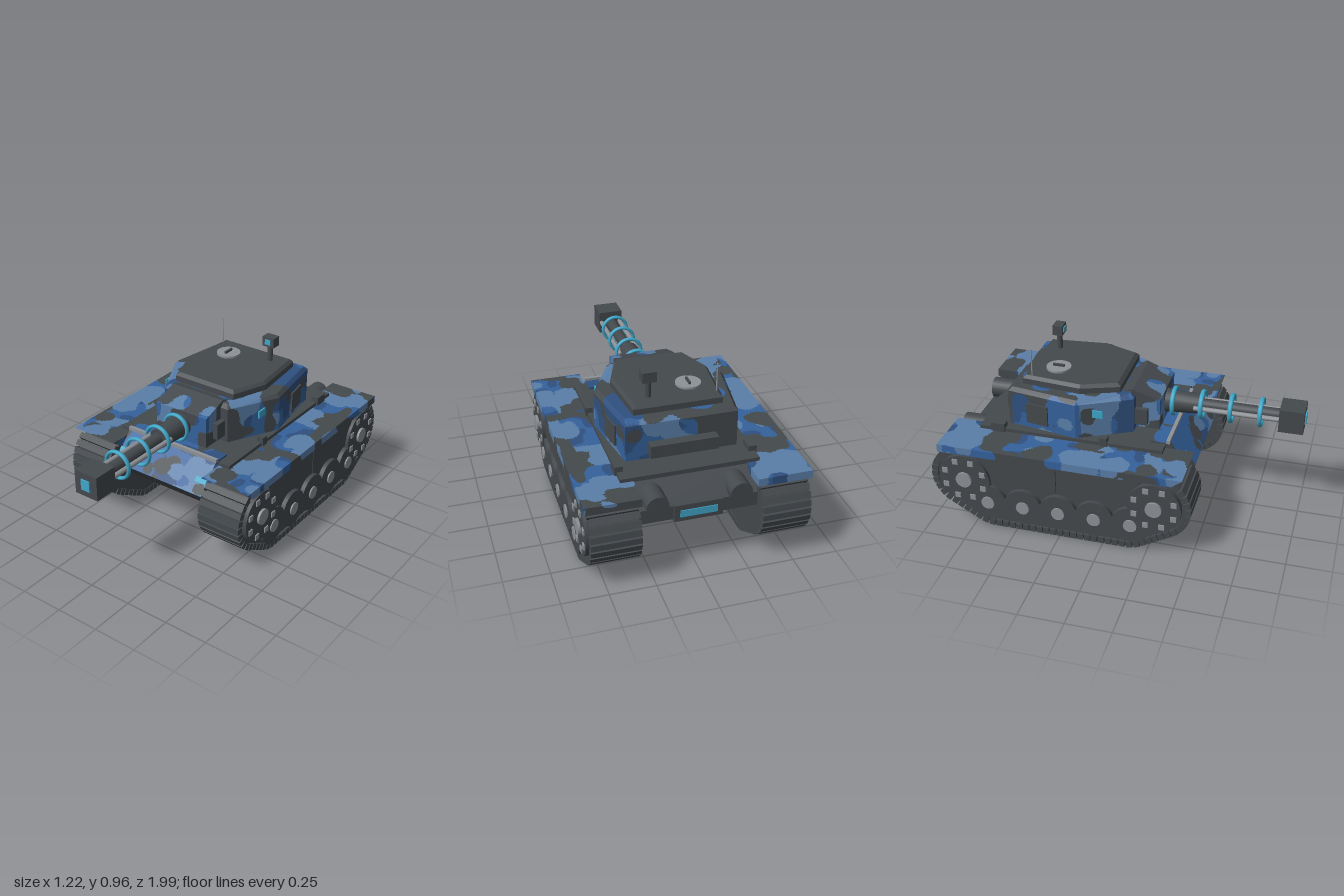
import * as THREE from 'three';

const mat = (name, color) => Object.assign(new THREE.MeshStandardMaterial({ color }), { name });
const steel = mat('dark steel', 0x44494d);
const blue = mat('mid blue', 0x35629c);
const pale = mat('pale blue', 0x5a7ea8);
const navy = mat('deep blue', 0x30507f);
const cyan = mat('cyan glow', 0x3fa6c8);
const metal = mat('light metal', 0x8d9196);

// Smooth value noise, 0..1
const hash = (x, y, z) => {
  const h = Math.sin(x * 127.1 + y * 311.7 + z * 74.7) * 43758.5453;
  return h - Math.floor(h);
};
function noise(p, freq, shift) {
  const c = [p.x, p.y, p.z].map((v) => v * freq + shift);
  const [i, j, k] = c.map(Math.floor);
  const [u, v, w] = c.map((q) => THREE.MathUtils.smoothstep(q - Math.floor(q), 0, 1));
  const mix = THREE.MathUtils.lerp;
  const row = (y, z) => mix(hash(i, y, z), hash(i + 1, y, z), u);
  return mix(mix(row(j, k), row(j + 1, k), v), mix(row(j, k + 1), row(j + 1, k + 1), v), w);
}

// Placed camouflage patches: x, y, z, radius, slot (0 steel, 1 blue, 2 pale, 3 navy)
const patches = [
  [0, 0.44, 0.39, 0.048, 0], [0.1, 0.44, 0.39, 0.05, 2], [0.2, 0.47, 0.36, 0.07, 2],
  [0.27, 0.4, 0.41, 0.035, 0], [-0.27, 0.39, 0.42, 0.03, 0], [-0.08, 0.4, 0.41, 0.03, 0], [-0.15, 0.45, 0.38, 0.14, 1],
  [-0.53, 0.49, -0.82, 0.09, 2], [-0.45, 0.49, -0.62, 0.09, 0], [-0.37, 0.49, -0.4, 0.06, 2], [-0.55, 0.49, -0.37, 0.08, 0],
  [-0.55, 0.49, 0.05, 0.08, 2], [-0.38, 0.49, -0.13, 0.07, 0], [-0.47, 0.49, 0.38, 0.07, 2], [-0.55, 0.49, 0.24, 0.06, 0],
  [0.54, 0.49, -0.8, 0.08, 2], [0.42, 0.49, -0.87, 0.07, 0], [0.38, 0.49, -0.5, 0.08, 2], [0.53, 0.49, -0.5, 0.08, 0],
  [0.53, 0.49, -0.18, 0.08, 2], [0.38, 0.49, 0.08, 0.07, 0], [0.38, 0.49, 0.34, 0.06, 0], [0.56, 0.49, 0.24, 0.06, 2]];

function camoSlot(p) {
  const wobble = 0.7 + 0.7 * noise(p, 22, 3.3);
  const hit = patches.find(([x, y, z, r]) => Math.hypot(p.x - x, p.y - y, p.z - z) < r * wobble);
  if (hit) return hit[4];
  if (noise(p, 10, 7.4) > 0.56) return 0;
  if (noise(p, 9, 21.7) > 0.58) return 2;
  return noise(p, 10, 40.2) > 0.58 ? 3 : 1;
}

// Splits a geometry finely and sorts its faces into camouflage patches
function camo(geometry) {
  const pos = (geometry.index ? geometry.toNonIndexed() : geometry).attributes.position;
  const bins = [[], [], [], []];
  const split = (a, b, c) => {
    const ab = a.distanceTo(b), bc = b.distanceTo(c), ca = c.distanceTo(a);
    const longest = Math.max(ab, bc, ca);
    if (longest < 0.018) {
      const bin = bins[camoSlot(a.clone().add(b).add(c).divideScalar(3))];
      for (const p of [a, b, c]) bin.push(p.x, p.y, p.z);
      return;
    }
    if (longest === bc) [a, b, c] = [b, c, a];
    else if (longest === ca) [a, b, c] = [c, a, b];
    const m = a.clone().lerp(b, 0.5);
    split(a, m, c);
    split(m, b, c);
  };
  const v = (i) => new THREE.Vector3().fromBufferAttribute(pos, i);
  for (let i = 0; i < pos.count; i += 3) split(v(i), v(i + 1), v(i + 2));
  const out = new THREE.BufferGeometry();
  out.setAttribute('position', new THREE.Float32BufferAttribute(bins.flat(), 3));
  let start = 0;
  bins.forEach((bin, i) => { out.addGroup(start, bin.length / 3, i); start += bin.length / 3; });
  out.computeVertexNormals();
  return out;
}

// Side profile in (z, y), extruded across x
function across(shape, x0, x1) {
  const g = new THREE.ExtrudeGeometry(shape, { depth: x1 - x0, bevelEnabled: false, curveSegments: 10 });
  return g.rotateY(-Math.PI / 2).translate(x1, 0, 0);
}
const poly = (pts) => new THREE.Shape(pts.map(([z, y]) => new THREE.Vector2(z, y)));

// Stack of mirrored six-sided plan outlines, capped at top and bottom
function hexStack(levels) {
  const rings = levels.map(([y, half]) => [
    ...half.map(([x, z]) => [x, y, z]), ...half.slice().reverse().map(([x, z]) => [-x, y, z])]);
  const n = rings[0].length, p = [], top = rings[rings.length - 1], low = rings[0];
  for (let r = 0; r + 1 < rings.length; r++) for (let i = 0; i < n; i++) {
    const j = (i + 1) % n, [A, B] = [rings[r], rings[r + 1]];
    p.push(...A[i], ...A[j], ...B[j], ...A[i], ...B[j], ...B[i]);
  }
  for (let i = 1; i + 1 < n; i++) p.push(...top[0], ...top[i], ...top[i + 1], ...low[0], ...low[i + 1], ...low[i]);
  const g = new THREE.BufferGeometry();
  g.setAttribute('position', new THREE.Float32BufferAttribute(p, 3));
  g.computeVertexNormals();
  return g;
}

export function createModel() {
  const model = new THREE.Group();
  model.name = 'tank';
  const add = (name, geometry, material, parent = model) => {
    const m = new THREE.Mesh(geometry, material);
    m.name = name;
    parent.add(m);
    return m;
  };
  const addCamo = (name, geometry) => add(name, camo(geometry), [steel, blue, pale, navy]);
  // Box given by its limits
  const box = (name, [x0, x1], [y0, y1], [z0, z1], material, parent) => add(name,
    new THREE.BoxGeometry(x1 - x0, y1 - y0, z1 - z0)
      .translate((x0 + x1) / 2, (y0 + y1) / 2, (z0 + z1) / 2), material, parent);
  const side = (s, a, b) => (s > 0 ? [a, b] : [-b, -a]);
  const rod = (name, r0, r1, x, y, z0, z1, material, n = 20) => add(name,
    new THREE.CylinderGeometry(r1, r0, z1 - z0, n).rotateX(Math.PI / 2).translate(x, y, (z0 + z1) / 2), material);

  // Hull
  add('hull', across(poly([[0.41, 0.355], [0.3, 0.235], [-0.75, 0.235], [-0.885, 0.31],
    [-0.885, 0.39], [-0.77, 0.495], [0.25, 0.495]]), -0.33, 0.33), steel);
  box('deck', [-0.375, 0.375], [0.47, 0.52], [-0.77, 0.28], steel);
  addCamo('frontPlate', across(poly([[0.3, 0.53], [0.2, 0.53], [0.2, 0.36], [0.42, 0.36], [0.44, 0.38]]), -0.302, 0.302));
  box('frontPlateRail', [-0.305, 0.305], [0.525, 0.545], [0.285, 0.305], metal);
  box('rearLampHousing', [-0.13, 0.13], [0.305, 0.4], [-0.905, -0.84], steel);
  box('rearLamp', [-0.1, 0.1], [0.33, 0.37], [-0.91, -0.904], cyan);

  // Running gear path: clockwise round the two sprockets and the ground wheels
  const track = new THREE.Shape();
  track.moveTo(-0.79, 0.47);
  track.absarc(0.29, 0.295, 0.175, Math.PI / 2, -1.05, true);
  track.absarc(0.13, 0.18, 0.155, -1.05, -Math.PI / 2, true);
  track.absarc(-0.63, 0.18, 0.155, -Math.PI / 2, -Math.PI + 1.05, true);
  track.absarc(-0.79, 0.295, 0.175, -Math.PI + 1.05, -1.5 * Math.PI, true);

  for (const s of [1, -1]) {
    const gear = new THREE.Group();
    gear.name = s > 0 ? 'leftTrack' : 'rightTrack';
    model.add(gear);
    const disc = (name, r, z, y, a, b, material, n = 28) => add(name,
      new THREE.CylinderGeometry(r, r, b - a, n).rotateZ(Math.PI / 2).translate(s * (a + b) / 2, y, z), material, gear);
    add('belt', across(track, ...side(s, 0.325, 0.57)), steel, gear);

    // Tread plates
    const count = 56;
    for (let i = 0; i < count; i++) {
      const p = track.getPointAt(i / count), t = track.getTangentAt(i / count);
      if (p.y > 0.45) continue;
      const plate = box('treadPlate', [-0.132, 0.132], [-0.012, 0.025], [-0.017, 0.017], steel, gear);
      plate.position.set(s * 0.452, p.y, p.x);
      plate.rotation.x = Math.atan2(-t.y, t.x);
    }
    // Road wheels
    for (let i = 0; i < 5; i++) {
      const z = 0.16 - i * 0.205;
      disc('roadWheel', 0.11, z, 0.16, 0.54, 0.595, steel);
      disc('roadWheelHub', 0.038, z, 0.16, 0.59, 0.603, metal, 16);
    }
    // Sprockets with bolt squares
    for (const z of [0.29, -0.79]) {
      disc('sprocket', 0.15, z, 0.295, 0.54, 0.598, steel);
      disc('sprocketHub', 0.046, z, 0.295, 0.59, 0.612, metal, 16);
      for (let k = 0; k < 8; k++) {
        const a = (k + 0.5) * Math.PI / 4;
        const cz = z + 0.118 * Math.cos(a), cy = 0.295 + 0.118 * Math.sin(a);
        box('sprocketBolt', side(s, 0.59, 0.605), [cy - 0.016, cy + 0.016], [cz - 0.016, cz + 0.016], metal, gear);
      }
    }
    // Side skirts, in two panels
    box('skirtPanel', side(s, 0.55, 0.58), [0.28, 0.46], [-0.257, 0.2], steel, gear);
    box('skirtPanel', side(s, 0.55, 0.58), [0.28, 0.46], [-0.7, -0.263], steel, gear);

    // Fender, deck fittings, headlamp, exhaust
    addCamo('fender', across(poly([[0.44, 0.5], [-0.935, 0.5], [-0.935, 0.455], [0.38, 0.455]]), ...side(s, 0.305, 0.602)));
    box('deckBlock', side(s, 0.345, 0.385), [0.5, 0.55], [-0.07, -0.03], steel);
    box('deckLocker', side(s, 0.34, 0.385), [0.5, 0.55], [-0.7, -0.62], steel);
    const lamp = box('headlamp', side(s, 0.23, 0.302), [-0.016, 0.016], [-0.002, 0.004], cyan);
    lamp.position.set(0, 0.443, 0.387);
    lamp.rotation.x = -0.75;
    rod('exhaust', 0.06, 0.06, s * 0.222, 0.425, -0.925, -0.75, steel, 24);

    // Turret side fittings
    box('turretLamp', side(s, 0.324, 0.333), [0.643, 0.686], [-0.125, -0.065], cyan);
    const panel = box('turretSidePanel', [-0.02, 0.006], [0.555, 0.675], [-0.065, 0.065], steel);
    panel.position.set(s * 0.337, 0, -0.44);
    panel.rotation.y = s > 0 ? 0.157 : Math.PI - 0.157;
    box('mantletTrunnion', side(s, 0.16, 0.203), [0.56, 0.655], [0.08, 0.15], steel);
  }

  // Turret
  addCamo('turretBody', hexStack([
    [0.51, [[0.22, 0.08], [0.37, -0.21], [0.305, -0.615]]],
    [0.725, [[0.22, 0.08], [0.37, -0.21], [0.305, -0.615]]],
    [0.747, [[0.2, 0.055], [0.35, -0.21], [0.29, -0.595]]]]));
  add('turretRoof', hexStack([
    [0.745, [[0.2, 0.0], [0.277, -0.21], [0.243, -0.55]]],
    [0.78, [[0.2, 0.0], [0.277, -0.21], [0.243, -0.55]]],
    [0.797, [[0.187, -0.02], [0.26, -0.21], [0.228, -0.535]]]]), steel);
  box('turretRearBox', [-0.185, 0.185], [0.55, 0.62], [-0.672, -0.6], steel);
  addCamo('mantlet', across(poly([[0.215, 0.53], [0.215, 0.71], [0.06, 0.76], [-0.01, 0.74], [-0.01, 0.53]]), -0.172, 0.172));

  // Hatch, antenna and sight
  add('hatch', new THREE.CylinderGeometry(0.07, 0.07, 0.02, 28).translate(-0.105, 0.799, -0.385), metal);
  box('hatchHandle', [-0.111, -0.099], [0.805, 0.822], [-0.418, -0.352], steel);
  add('antenna', new THREE.CylinderGeometry(0.003, 0.005, 0.165, 8).translate(-0.225, 0.873, -0.5), metal);
  add('sightPost', new THREE.CylinderGeometry(0.016, 0.016, 0.11, 16).translate(0.138, 0.845, -0.46), steel);
  box('sightHead', [0.1, 0.177], [0.89, 0.948], [-0.49, -0.432], steel);
  box('sightLens', [0.12, 0.157], [0.904, 0.935], [-0.433, -0.426], cyan);

  // Gun
  rod('gunSleeve', 0.068, 0.055, 0, 0.625, 0.2, 0.42, steel);
  rod('barrel', 0.034, 0.034, 0, 0.625, 0.4, 0.86, steel);
  for (const s of [1, -1]) rod('barrelRail', 0.014, 0.014, s * 0.058, 0.625, 0.38, 0.86, metal, 12);
  for (const z of [0.26, 0.42, 0.585, 0.75]) {
    add('barrelRing', new THREE.TorusGeometry(0.076, 0.0095, 10, 32).scale(1, 1, 1.4).translate(0, 0.625, z), cyan);
  }
  box('muzzleBlock', [-0.073, 0.073], [0.557, 0.692], [0.855, 0.992], steel);
  box('muzzleLens', [-0.028, 0.028], [0.595, 0.655], [0.991, 1.0], cyan);
  return model;
}
